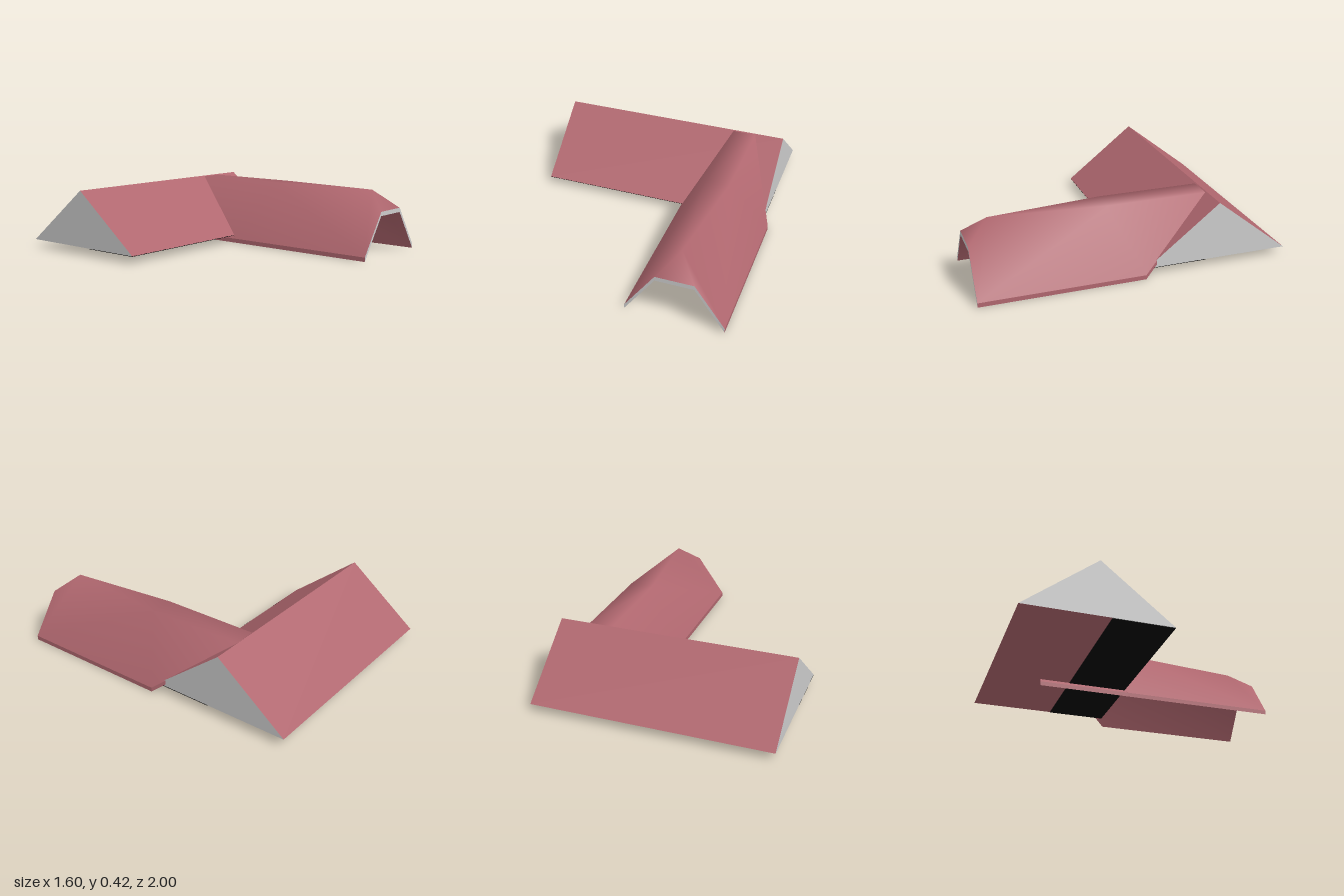
import * as THREE from 'three';

const mat = (name, color) => Object.assign(new THREE.MeshStandardMaterial({ color }), { name });

function surface(points, index) {
  const g = new THREE.BufferGeometry();
  g.setAttribute('position', new THREE.Float32BufferAttribute(points.flat(), 3));
  g.setIndex(index);
  g.computeVertexNormals();
  return g;
}

export function createModel() {
  const group = new THREE.Group();
  const red = mat('roofRed', 0xb0676f);
  const grey = mat('edgeGrey', 0xcccccc);
  const black = mat('undersideBlack', 0x050505);
  const add = (name, geometry, material) => {
    const mesh = new THREE.Mesh(geometry, material);
    mesh.name = name;
    group.add(mesh);
    return mesh;
  };

  // Main gable roof: triangular prism along x, grey gables and red slopes
  const gable = new THREE.Shape([[0.06, 0.05], [1, 0.05], [0.53, 0.42]].map(p => new THREE.Vector2(...p)));
  const main = new THREE.ExtrudeGeometry(gable, { depth: 1.56, bevelEnabled: false });
  main.rotateY(Math.PI / 2).translate(-0.8, 0, 0);
  add('mainRoof', main, [grey, red]);

  // Dark strip under the front half of the main roof
  add('undersideStrip', new THREE.BoxGeometry(1.56, 0.004, 0.39), black).position.set(-0.02, 0.049, -0.256);

  // Wing roof: boundary points 0-7 in order, then the clipped ridge 8-10
  const top = [
    [0.18, 0.028, 1], [0.37, 0.295, 1], [0.61, 0.295, 1], [0.8, 0.028, 1],
    [0.8, 0.028, -0.04], [0.565, 0.415, -0.53], [0.41, 0.415, -0.53], [0.18, 0.028, -0.04],
    [0.49, 0.415, 0.86], [0.41, 0.415, 0.13], [0.565, 0.415, 0.13],
  ];
  const faces = [
    0, 1, 8, 0, 8, 9, 0, 9, 7, 7, 9, 6, // left slope
    1, 2, 8, 8, 10, 9, 9, 10, 5, 9, 5, 6, // front hip and ridge
    2, 3, 8, 3, 10, 8, 3, 4, 10, 4, 5, 10, // right slope
  ];
  const under = top.map(([x, y, z]) => [x, y - 0.028, z]);
  add('wingRoof', surface(top, faces), red);
  add('wingLining', surface(under, [...faces].reverse()), red);

  // Rim closing the thickness: grey at the front, red at the eaves and valley
  for (let i = 0; i < 8; i++) {
    const j = (i + 1) % 8;
    add(i < 3 ? 'frontRim' : 'eaveRim', surface([top[i], under[i], under[j], top[j]], [0, 1, 2, 0, 2, 3]), i < 3 ? grey : red);
  }

  // Eave running on beneath the main roof
  const eave = new THREE.Shape([[0.18, 0], [0.212, 0.05], [0.212, 0.075], [0.18, 0.028]].map(p => new THREE.Vector2(...p)));
  const rail = new THREE.ExtrudeGeometry(eave, { depth: 0.61, bevelEnabled: false });
  add('hiddenEave', rail.translate(0, 0, -0.65), red);

  return group;
}
